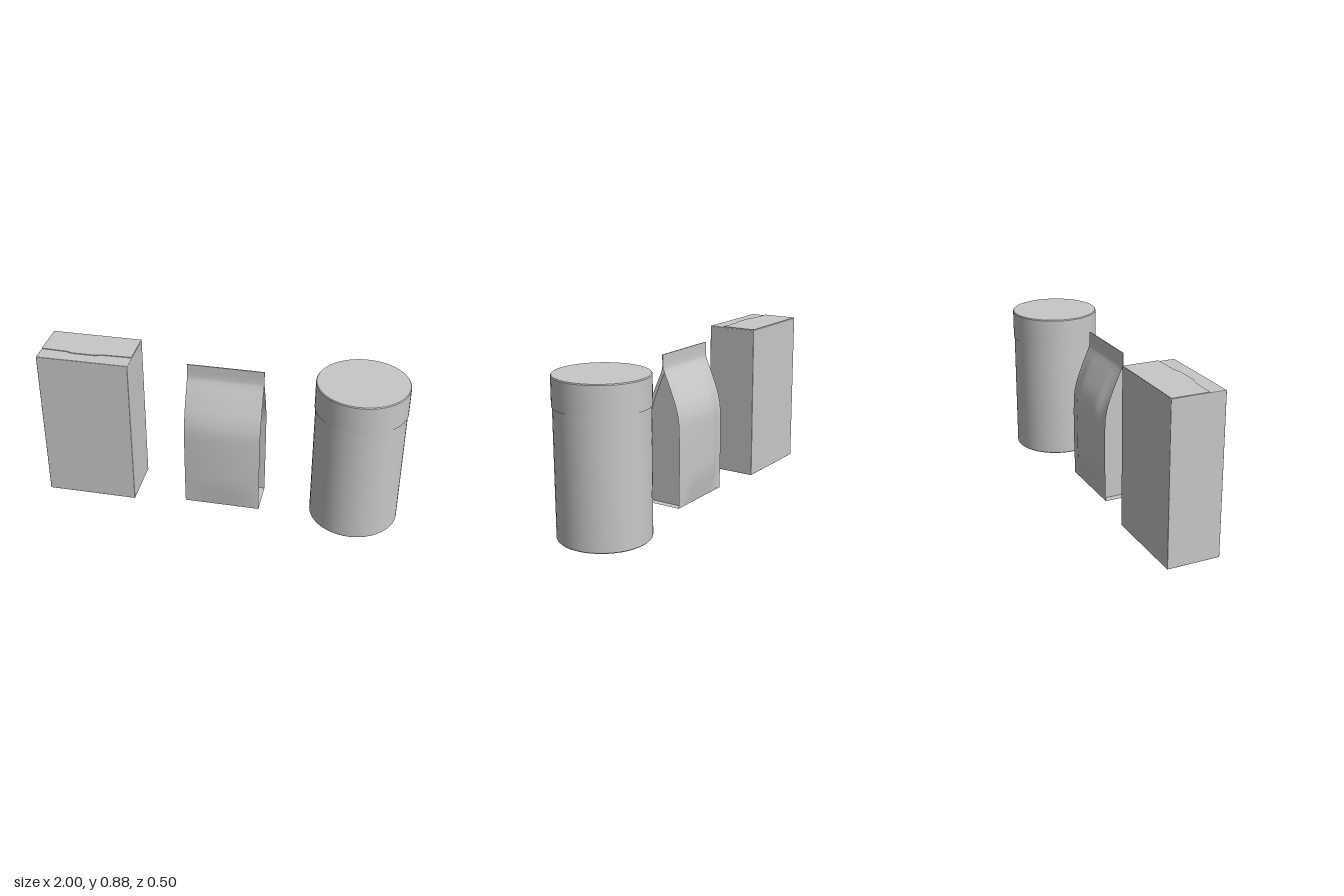
import * as THREE from 'three';
import { RoundedBoxGeometry } from 'three/addons/geometries/RoundedBoxGeometry.js';
import { toCreasedNormals } from 'three/addons/utils/BufferGeometryUtils.js';

const blank = new THREE.MeshStandardMaterial({ color: 0xc8c8c8, side: THREE.DoubleSide });
blank.name = 'blank grey';

function part(name, geometry, parent) {
  const mesh = new THREE.Mesh(geometry, blank);
  mesh.name = name;
  parent.add(mesh);
  return mesh;
}

// Smooth sheet from point(u, v); faces along du x dv
function sheet(point, nu, nv) {
  const pos = [], index = [];
  for (let j = 0; j <= nv; j++) for (let i = 0; i <= nu; i++) pos.push(...point(i / nu, j / nv));
  for (let j = 0; j < nv; j++) for (let i = 0; i < nu; i++) {
    const a = j * (nu + 1) + i, b = a + 1, c = a + nu + 1, d = c + 1;
    index.push(a, b, d, a, d, c);
  }
  const g = new THREE.BufferGeometry();
  g.setAttribute('position', new THREE.Float32BufferAttribute(pos, 3));
  g.setIndex(index);
  g.computeVertexNormals();
  return g;
}

// Carton with a tuck flap on top
function makeCarton() {
  const carton = new THREE.Group();
  carton.name = 'carton';
  part('cartonBody', new RoundedBoxGeometry(0.51, 0.88, 0.293, 2, 0.004), carton).position.y = 0.44;

  const flap = new THREE.Shape([
    [-0.253, 0.145], [0.253, 0.145], [0.253, -0.055], [0.1, -0.06], [0.05, -0.072],
    [-0.075, -0.072], [-0.11, -0.06], [-0.253, -0.055],
  ].map(([x, y]) => new THREE.Vector2(x, y)));
  const top = part('topFlap', new THREE.ExtrudeGeometry(flap, { depth: 0.004, bevelEnabled: false }), carton);
  top.rotation.x = -Math.PI / 2;
  top.position.y = 0.88;
  carton.position.x = -0.745;
  return carton;
}

// Gusseted pouch with a flat sealed top
function makePouch() {
  const pouch = new THREE.Group();
  pouch.name = 'pouch';
  const W = 0.2125, inset = 0.04, H = 0.845;
  const profile = [[0, 0.1], [0.2, 0.104], [0.42, 0.104], [0.5, 0.099], [0.57, 0.083],
    [0.64, 0.057], [0.7, 0.032], [0.745, 0.012], [0.77, 0.004], [H, 0.003]];
  const curve = new THREE.CatmullRomCurve3(profile.map(([y, d]) => new THREE.Vector3(0, y, d)), false, 'centripetal');
  const rows = curve.getPoints(36);
  const row = v => rows[Math.round(v * 36)];

  // Panel depth: gently bowed front, flatter back with soft shoulders
  const bulge = (y, d) => Math.min(1, d / 0.1) * Math.min(1, y / 0.15);
  const frontZ = (x, y, d) => d + 0.013 * bulge(y, d) * (1 - (x / W) ** 2);
  const backZ = (x, y, d) =>
    -d - 0.02 * bulge(y, d) * (1 - THREE.MathUtils.smoothstep(Math.abs(x), 0.1, 0.185));

  part('frontPanel', sheet((u, v) => {
    const x = (2 * u - 1) * W, p = row(v);
    return [x, p.y, frontZ(x, p.y, p.z)];
  }, 20, 36), pouch);
  part('backPanel', sheet((u, v) => {
    const x = (1 - 2 * u) * W, p = row(v);
    return [x, p.y, backZ(x, p.y, p.z)];
  }, 20, 36), pouch);

  // Side gussets sit inside the panel edges
  for (const s of [-1, 1]) {
    const x = s * (W - inset);
    part(s > 0 ? 'leftGusset' : 'rightGusset', sheet((u, v) => {
      const p = row(v), t = s > 0 ? 1 - u : u;
      return [x, p.y, THREE.MathUtils.lerp(backZ(x, p.y, p.z), frontZ(x, p.y, p.z), t)];
    }, 2, 36), pouch);
  }

  part('pouchBase', sheet((u, v) => [(2 * u - 1) * W, 0, (2 * v - 1) * 0.1], 1, 1), pouch);
  part('topSeal', new THREE.BoxGeometry(2 * W, 0.08, 0.005), pouch).position.y = H - 0.04;
  pouch.position.x = 0.0125;
  return pouch;
}

// Round tin with a slip-on lid
function makeTin() {
  const tin = new THREE.Group();
  tin.name = 'tin';
  const lathe = pts => toCreasedNormals(
    new THREE.LatheGeometry(pts.map(([r, y]) => new THREE.Vector2(r, y)), 48), 0.6);
  part('tinBody', lathe([[0, 0], [0.24, 0], [0.245, 0.005], [0.245, 0.7]]), tin);
  part('tinLid', lathe([[0.243, 0.688], [0.249, 0.688], [0.249, 0.841], [0.245, 0.846], [0, 0.846]]), tin);
  tin.position.x = 0.75;
  return tin;
}

export function createModel() {
  const model = new THREE.Group();
  model.name = 'packagingSet';
  model.add(makeCarton(), makePouch(), makeTin());
  return model;
}
